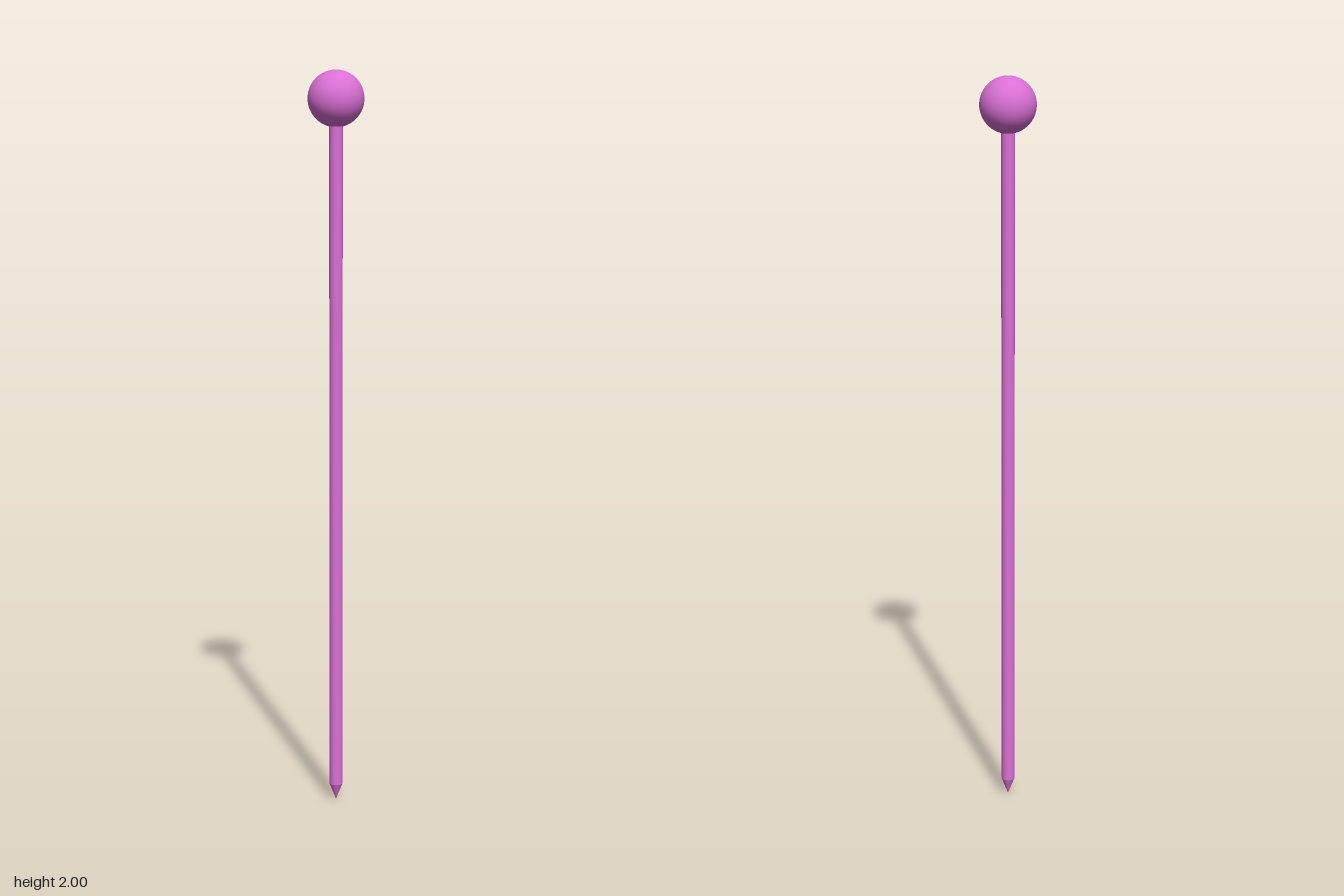
import * as THREE from 'three';

const HEAD_RADIUS = 0.075;
const SHAFT_RADIUS = 0.018;
const TIP_HEIGHT = 0.045;
const HEAD_Y = 2 - HEAD_RADIUS;

export function createModel() {
  const group = new THREE.Group();
  group.name = 'pin';
  const material = new THREE.MeshStandardMaterial({ color: 0xda70d6 });

  const add = (name, geometry, y) => {
    const mesh = new THREE.Mesh(geometry, material);
    mesh.name = name;
    mesh.position.y = y;
    group.add(mesh);
    return mesh;
  };

  // Round head
  add('head', new THREE.SphereGeometry(HEAD_RADIUS, 48, 32), HEAD_Y);

  // Straight shaft, running up into the head
  const shaftLength = HEAD_Y - TIP_HEIGHT;
  add('shaft', new THREE.CylinderGeometry(SHAFT_RADIUS, SHAFT_RADIUS, shaftLength, 32, 1, true),
    TIP_HEIGHT + shaftLength / 2);

  // Pointed tip, facing down
  const tip = add('tip', new THREE.ConeGeometry(SHAFT_RADIUS, TIP_HEIGHT, 32, 1, true), TIP_HEIGHT / 2);
  tip.rotation.x = Math.PI;

  return group;
}
